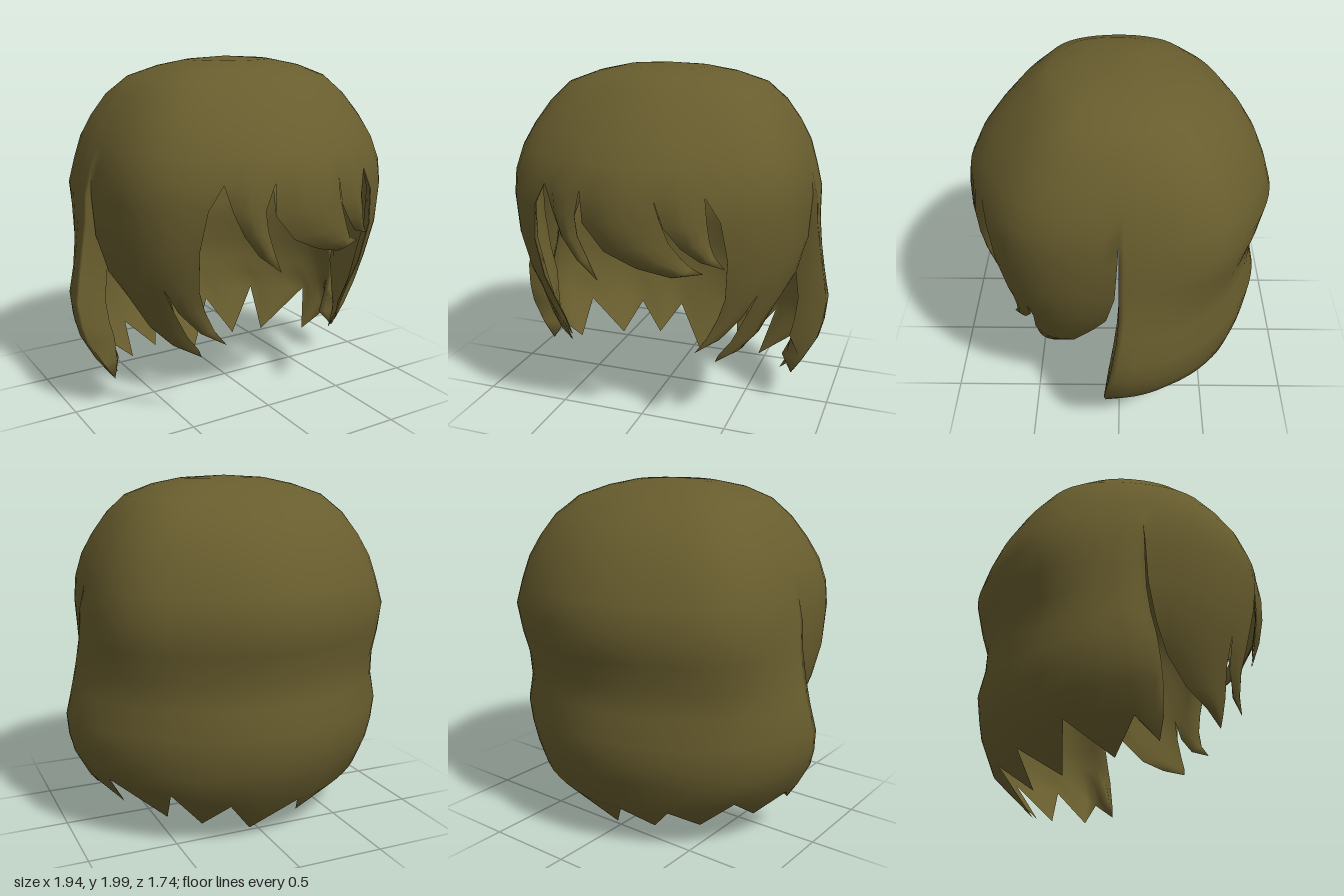
import * as THREE from 'three';
import { mergeVertices } from 'three/addons/utils/BufferGeometryUtils.js';

const { lerp, degToRad, radToDeg, mapLinear, clamp } = THREE.MathUtils;

// Silhouette radii as [height, radius], from crown to tips
const CROWN_SIDE = [[2, 0], [1.99, 0.22], [1.94, 0.45], [1.89, 0.57], [1.75, 0.705], [1.55, 0.805], [1.42, 0.84]];
const FRONT_SIDE = [...CROWN_SIDE, [1.33, 0.85], [1.1, 0.85], [0.85, 0.79], [0.7, 0.72], [0.58, 0.67], [0.47, 0.63], [0.4, 0.61]];
const BACK_SIDE = [...CROWN_SIDE, [1.33, 0.87], [1.1, 0.885], [0.86, 0.93], [0.68, 0.97], [0.48, 0.95], [0.34, 0.88],
  [0.2, 0.79], [0.1, 0.64], [0, 0.5]];
const FRONT = [[2, 0], [1.995, 0.16], [1.965, 0.37], [1.82, 0.57], [1.65, 0.72], [1.48, 0.84], [1.35, 0.865], [1.2, 0.875],
  [1, 0.83], [0.93, 0.8], [0.7, 0.79], [0.52, 0.75], [0.4, 0.63]];
const BACK = [[2, 0], [1.99, 0.1], [1.94, 0.32], [1.83, 0.56], [1.68, 0.69], [1.5, 0.8], [1.25, 0.875], [1, 0.79],
  [0.9, 0.775], [0.66, 0.825], [0.48, 0.795], [0.3, 0.755], [0.2, 0.67], [0, 0.47]];
const CROWN_ROWS = [2, 1.985, 1.95, 1.89, 1.79, 1.67, 1.55];
const BACK_ROWS = [1.42, 1.28, 1.12, 0.97, 0.82, 0.67, 0.54, 0.44];
const FREE_EDGES = [31, 90]; // angles where a front lock hangs apart from its neighbour

function radiusAt(table, y) {
  for (let i = 1; i < table.length; i++) {
    const [y0, r0] = table[i - 1], [y1, r1] = table[i];
    if (y >= y1) return lerp(r0, r1, clamp((y0 - y) / (y0 - y1), 0, 1));
  }
  return table[table.length - 1][1];
}

// Point on the head of hair: angle in degrees (0 = front, 90 = left side), height, radial scale
function hairPoint(angle, y, isBack, scale) {
  const spread = isBack ? 1 + 0.075 * clamp((0.9 - y) / 0.7, 0, 1) : 1;
  const a = degToRad(isBack ? 180 + (angle - 180) * spread : angle);
  const s = Math.abs(Math.sin(a)), c = Math.abs(Math.cos(a));
  const low = isBack ? clamp(mapLinear(y, 1.2, 0.8, 0, 1), 0, 1) : 0;
  const n = lerp(2, 1.85, low);
  const rx = radiusAt(isBack ? BACK_SIDE : FRONT_SIDE, y);
  const rz = radiusAt(isBack ? BACK : FRONT, y);
  if (rx < 1e-6) return [0, y, 0];
  // Fuller corners between the front or back and the sides
  const corner = 1 + 0.065 * (1 - low) * Math.exp(-(((radToDeg(Math.atan2(s, c)) - 56) / 20) ** 2));
  const r = scale * corner * Math.pow((s / rx) ** n + (c / rz) ** n, -1 / n);
  return [r * Math.sin(a), y, r * Math.cos(a)];
}

// Hair thickness; the back hair thickens towards its two front edges
function thickness(angle, y, isBack) {
  const fromEdge = 90 - Math.abs(180 - angle);
  return 0.05 + (isBack ? 0.12 * Math.exp(-((fromEdge / 10) ** 2)) * clamp((1.42 - y) / 0.4, 0, 1) : 0);
}

// One solid lock from crown to tip; tail rows are [angle, height, angle, height] for its two edges.
// From row looseFrom on, the lock hangs free: its middle swells and its edges tuck in and taper.
function addLock(data, tail, isBack, looseFrom, swell) {
  const [a0, , a1] = tail[0];
  const rows = [...CROWN_ROWS.map((y) => [a0, y, a1, y]), ...tail];
  const cols = Math.max(4, Math.ceil((a1 - a0) / 6));
  for (const lining of [false, true]) {
    const base = data.positions.length / 3;
    rows.forEach(([aL, yL, aR, yR], j) => {
      const loose = j - CROWN_ROWS.length >= looseFrom;
      const last = j === rows.length - 1;
      for (let i = 0; i <= cols; i++) {
        const u = i / cols, arch = Math.sin(Math.PI * u);
        const angle = lerp(aL, aR, u), y = lerp(yL, yR, u);
        let scale = loose && !last ? 1 - swell * (1 - 1.15 * arch) : 1;
        if (lining) {
          const atFreeEdge = (i === 0 && FREE_EDGES.includes(Math.abs(a0))) || (i === cols && FREE_EDGES.includes(Math.abs(a1)));
          const depth = last || (atFreeEdge && !isBack) ? 0 : loose ? arch : 1;
          scale -= Math.max(0.002, thickness(angle, y, isBack) * depth);
        }
        const p = hairPoint(angle, y, isBack, scale);
        if (lining) p[1] -= 0.05 * clamp((y - 1.4) / 0.6, 0, 1);
        data.positions.push(...p);
      }
    });
    for (let j = 0; j < rows.length - 1; j++) {
      for (let i = 0; i < cols; i++) {
        const p = base + j * (cols + 1) + i, q = p + cols + 1;
        if (lining) data.index.push(p, p + 1, q, p + 1, q + 1, q);
        else data.index.push(p, q, p + 1, p + 1, q, q + 1);
      }
    }
  }
}

// Forward-facing wall that closes the front edge of the back hair
function addEdgeWall(data, angle, endY) {
  const base = data.positions.length / 3;
  const rows = [...BACK_ROWS, endY];
  rows.forEach((y) => {
    const depth = y === endY ? 0.002 : thickness(angle, y, true);
    data.positions.push(...hairPoint(angle, y, true, 1 - depth), ...hairPoint(angle, y, true, 1));
  });
  for (let j = 0; j < rows.length - 1; j++) {
    const p = base + 2 * j;
    if (angle < 180) data.index.push(p, p + 2, p + 1, p + 1, p + 2, p + 3);
    else data.index.push(p, p + 1, p + 2, p + 1, p + 3, p + 2);
  }
}

const mirrored = (rows) => rows.map(([aL, yL, aR, yR]) => [-aR, yR, -aL, yL]);

export function createModel() {
  const group = new THREE.Group();
  const material = new THREE.MeshStandardMaterial({ color: 0x685d2e, side: THREE.DoubleSide });
  const data = { positions: [], index: [] };
  const parts = [];
  const part = (name, build) => {
    const start = data.index.length;
    build();
    parts.push({ name, start, end: data.index.length });
  };

  // Swept fringe
  const fringe = {
    fringeRight: [[-31, 1.42, -13.5, 1.42], [-28, 1.28, -16.5, 1.28], [-24, 1.15, -15.5, 1.17],
      [-18, 1.03, -12.5, 1.05], [-9, 0.93, -9, 0.93]],
    fringeMiddle: [[-13.5, 1.42, 13.5, 1.42], [-13, 1.25, 16, 1.29], [-5, 1.11, 19, 1.18],
      [7, 1.03, 23, 1.1], [20, 0.98, 27, 1.04], [31, 1.01, 31, 1.01]],
    fringeLeft: [[13.5, 1.42, 31, 1.42], [17, 1.26, 32, 1.28], [23, 1.15, 33, 1.18],
      [30, 1.07, 35, 1.1], [38.5, 1.03, 38.5, 1.03]],
  };
  for (const [name, rows] of Object.entries(fringe)) part(name, () => addLock(data, rows, false, 1, 0.03));

  // Side locks, each split into two curled points
  const inner = [[31, 1.42, 53, 1.42], [36, 1.29, 53, 1.28], [39, 1.08, 53, 1.05], [40, 0.85, 53, 0.85],
    [38.5, 0.72, 49, 0.7], [35, 0.6, 41, 0.58], [30, 0.52, 30, 0.52]];
  const outer = [[53, 1.42, 90, 1.42], [53, 1.28, 89.5, 1.28], [53, 1.05, 88.5, 1.05], [53, 0.85, 85, 0.85],
    [51, 0.7, 78.7, 0.7], [47, 0.55, 68, 0.55], [43, 0.46, 56, 0.47], [42, 0.41, 42, 0.41]];
  part('sideLockLeft', () => [inner, outer].forEach((r) => addLock(data, r, false, 4, 0.02)));
  part('sideLockRight', () => [inner, outer].forEach((r) => addLock(data, mirrored(r), false, 4, 0.02)));

  // Back hair with a jagged hem: notches between the points, then the points
  const notches = [[90, 0.3], [97, 0.3], [113, 0.36], [138, 0.33], [161, 0.26], [192, 0.23], [213, 0.25],
    [238, 0.31], [261, 0.3], [270, 0.3]];
  const tips = [[91, 0.21], [105, 0.14], [128, 0.1], [146, 0.07], [175, 0.01], [205, 0.08], [229, 0.1], [254, 0.14], [269, 0.2]];
  part('backHair', () => {
    tips.forEach(([at, yt], i) => {
      const [aL, yL] = notches[i], [aR, yR] = notches[i + 1];
      addLock(data, [...BACK_ROWS.map((y) => [aL, y, aR, y]), [aL, yL, aR, yR], [at, yt, at, yt]], true, BACK_ROWS.length, 0);
    });
    addEdgeWall(data, 90, 0.3);
    addEdgeWall(data, 270, 0.3);
  });

  // Weld everything so shading flows across the locks, then split into named parts
  let whole = new THREE.BufferGeometry();
  whole.setAttribute('position', new THREE.Float32BufferAttribute(data.positions, 3));
  whole.setIndex(data.index);
  whole = mergeVertices(whole, 1e-4);
  whole.computeVertexNormals();
  const welded = Array.from(whole.index.array);
  for (const { name, start, end } of parts) {
    const index = [];
    for (let k = start; k < end; k += 3) {
      const [a, b, c] = welded.slice(k, k + 3);
      if (a !== b && b !== c && a !== c) index.push(a, b, c);
    }
    const shared = new THREE.BufferGeometry();
    shared.setAttribute('position', whole.attributes.position);
    shared.setAttribute('normal', whole.attributes.normal);
    shared.setIndex(index);
    const mesh = new THREE.Mesh(shared.toNonIndexed(), material);
    mesh.name = name;
    group.add(mesh);
  }
  return group;
}
